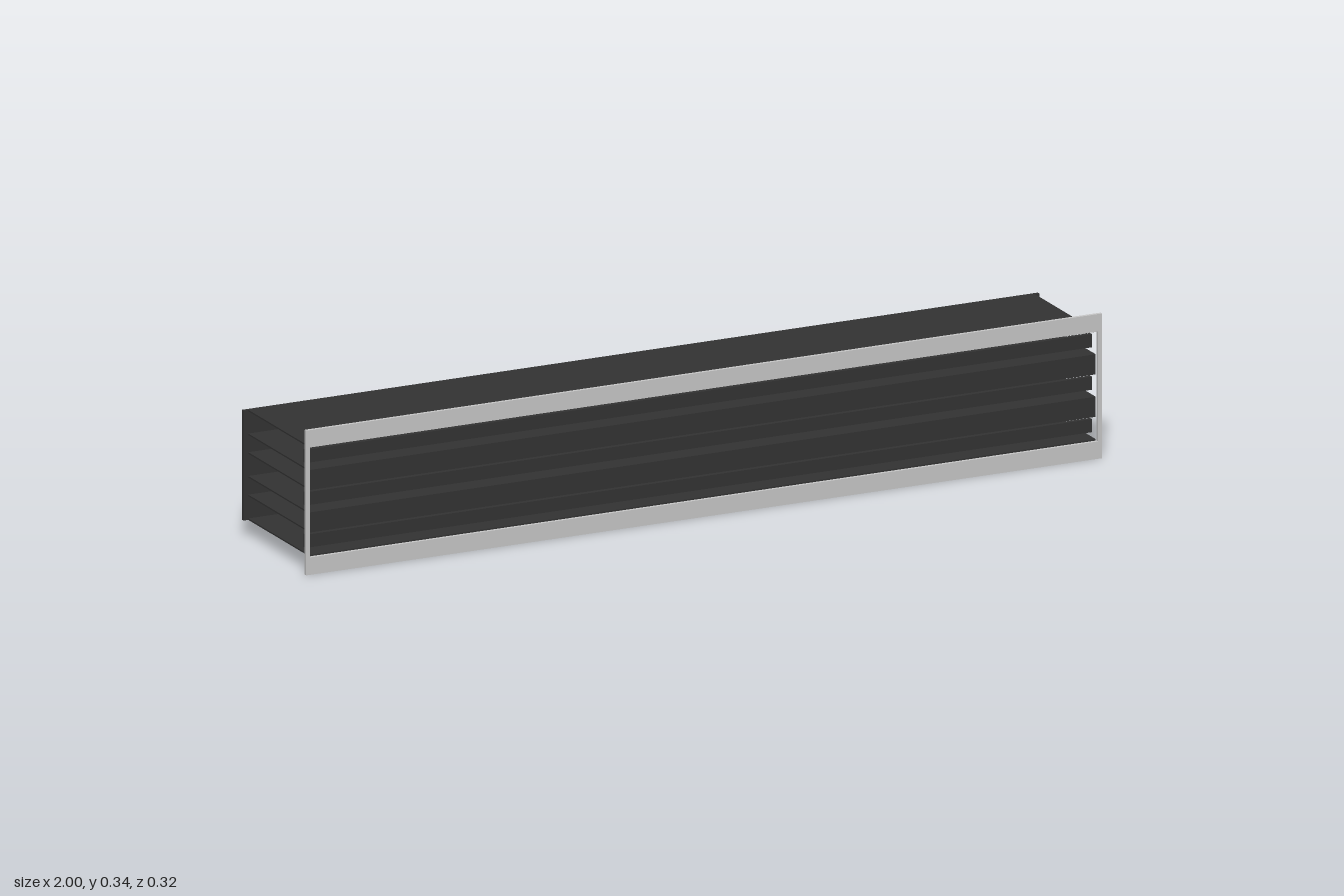
import * as THREE from 'three';

export function createModel() {
  const model = new THREE.Group();
  const silver = new THREE.MeshStandardMaterial({ color: 0xc8c8c8 });
  silver.name = 'silver';
  const charcoal = new THREE.MeshStandardMaterial({ color: 0x333333 });
  charcoal.name = 'charcoal';

  // Box spanning the given y and z ranges, centred on x
  const addBar = (name, width, y0, y1, z0, z1) => {
    const mesh = new THREE.Mesh(new THREE.BoxGeometry(width, y1 - y0, z1 - z0), charcoal);
    mesh.position.set(0, (y0 + y1) / 2, (z0 + z1) / 2);
    mesh.name = name;
    model.add(mesh);
  };

  // Rectangular face frame with a wide opening
  const rect = (path, x, y0, y1) =>
    path.moveTo(-x, y0).lineTo(x, y0).lineTo(x, y1).lineTo(-x, y1).closePath();
  const outline = rect(new THREE.Shape(), 1, 0, 0.341);
  outline.holes.push(rect(new THREE.Path(), 0.99, 0.041, 0.3));
  const frame = new THREE.Mesh(
    new THREE.ExtrudeGeometry(outline, { depth: 0.008, bevelEnabled: false }), silver);
  frame.position.z = 0.155;
  frame.name = 'faceFrame';
  model.add(frame);

  // Back plate
  addBar('backPlate', 2, 0.041, 0.3, -0.162, -0.154);

  // Horizontal shelves, top and bottom included
  [0.041, 0.097, 0.141, 0.197, 0.241, 0.297].forEach((y, i) =>
    addBar(`shelf${i + 1}`, 1.976, y, y + 0.0035, -0.154, 0.155));

  // Strips closing the fronts of the two blind channels
  [0.1, 0.2].forEach((y, i) =>
    addBar(`channelFront${i + 1}`, 1.976, y - 0.003, y + 0.0445, 0.146, 0.155));

  // Slats floating in the three open slots
  [0.071, 0.171, 0.271].forEach((y, i) =>
    addBar(`slat${i + 1}`, 1.976, y - 0.0155, y + 0.0155, 0.126, 0.136));

  return model;
}
